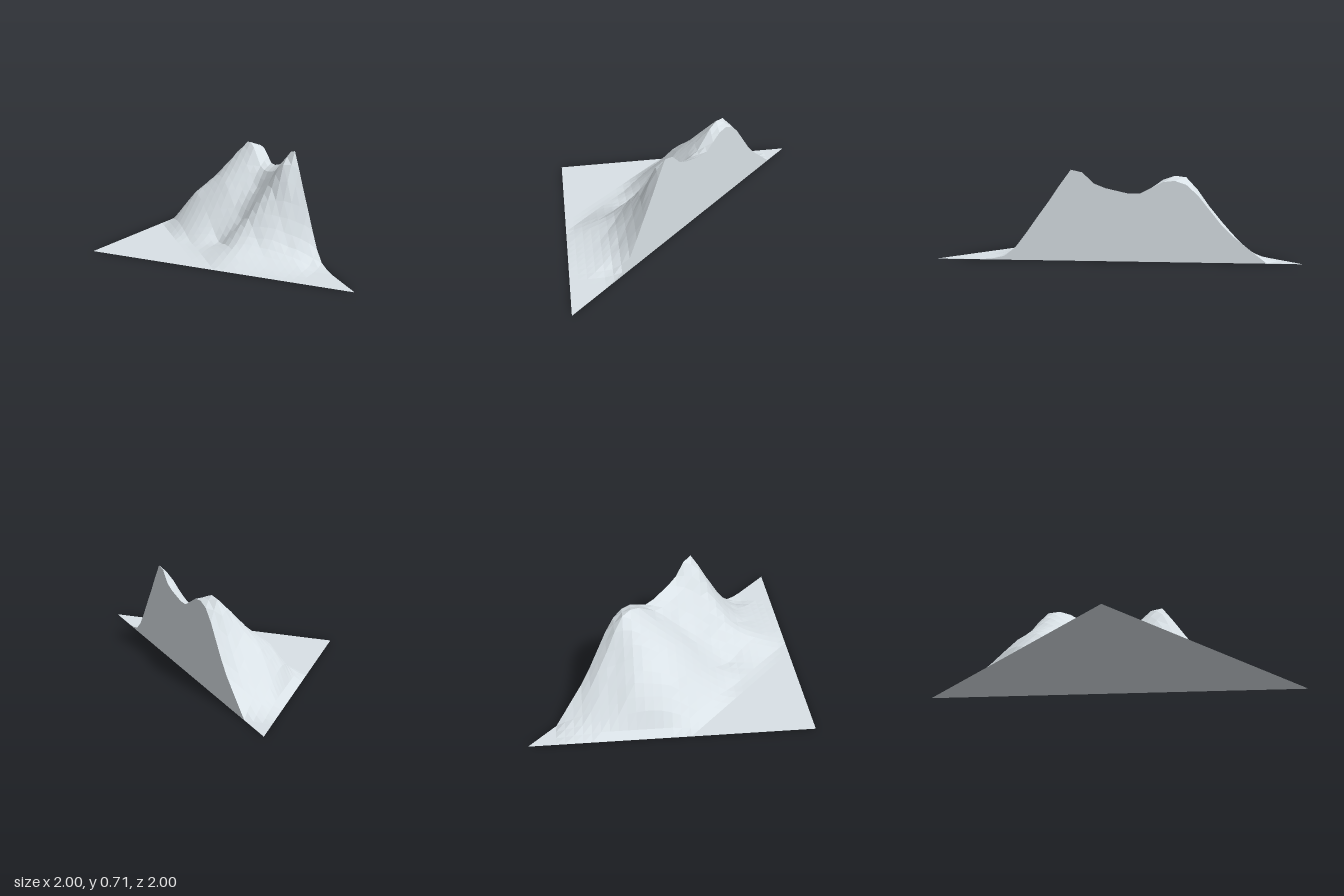
import * as THREE from 'three';

// Mountain cross-sections parallel to the vertical cut, u = distance z - x from it.
// Heights are evenly spaced along the cut, from S0 to S1.
const S0 = -0.875, S1 = 0.75;
const sections = [
  { u: 0, heights: [0, 0, 0.07, 0.14, 0.21, 0.3, 0.41, 0.52, 0.6, 0.63, 0.62, 0.575, 0.53, 0.53,
    0.55, 0.57, 0.605, 0.69, 0.71, 0.59, 0.46, 0.34, 0.215, 0.1, 0.03, 0.01, 0] },
  { u: 0.125, heights: [0, 0.06, 0.22, 0.43, 0.65, 0.63, 0.51, 0.5, 0.54, 0.615, 0.37, 0.16, 0.02, 0] },
  { u: 0.25, heights: [0, 0.05, 0.2, 0.37, 0.57, 0.55, 0.46, 0.38, 0.43, 0.45, 0.28, 0.11, 0.03, 0] },
  { u: 0.5, heights: [0, 0, 0.12, 0.3, 0.39, 0.4, 0.34, 0.24, 0.19, 0.24, 0.14, 0.06, 0.015, 0] },
  { u: 0.75, heights: [0, 0, 0, 0.15, 0.26, 0.24, 0.18, 0.1, 0.035, 0.065, 0.075, 0.03, 0, 0] },
  { u: 1, heights: [0, 0, 0, 0, 0.05, 0.06, 0.04, 0.01, 0.01, 0.01, 0.005, 0, 0, 0] },
  { u: 1.12, heights: [0, 0] },
];

// Smooth curve through one section
function along({ heights }, s) {
  const last = heights.length - 1;
  const t = THREE.MathUtils.clamp((s - S0) / (S1 - S0), 0, 1) * last;
  const k = Math.min(Math.floor(t), last - 1), f = t - k;
  const [p, a, b, q] = [-1, 0, 1, 2].map((d) => heights[THREE.MathUtils.clamp(k + d, 0, last)]);
  return a + 0.5 * f * (b - p + f * (2 * p - 5 * a + 4 * b - q + f * (3 * (a - b) + q - p)));
}

// Terrain height, never below a thin ground slab
const SLAB = 0.002;
function height(x, z) {
  const u = z - x, s = (x + z) / 2;
  const k = sections.findIndex((section) => section.u > u);
  if (k < 0 || x <= -1 || z >= 1) return SLAB;
  const a = sections[k - 1], b = sections[k];
  const y = THREE.MathUtils.lerp(along(a, s), along(b, s), (u - a.u) / (b.u - a.u));
  const foot = x < -0.92 ? 0.035 : 1; // low foot beside the outer edge
  return THREE.MathUtils.clamp(y, SLAB, foot);
}

function meshFrom(name, corners, material) {
  const geometry = new THREE.BufferGeometry();
  geometry.setAttribute('position', new THREE.Float32BufferAttribute(corners.flat(), 3));
  geometry.computeVertexNormals(); // unshared corners give flat facets
  const mesh = new THREE.Mesh(geometry, material);
  mesh.name = name;
  return mesh;
}

export function createModel() {
  const group = new THREE.Group();
  group.name = 'mountainCorner';
  const stone = new THREE.MeshStandardMaterial({ color: 0xd9e1e6, side: THREE.DoubleSide });
  stone.name = 'paleStone';

  const N = 32;
  const at = (i) => -1 + (2 * i) / N;
  const top = (i, j) => [at(i), height(at(i), at(j)), at(j)];
  const floor = (i) => [at(i), 0, at(i)];

  // Terrain over the triangular half of a square grid, and the wall along its cut
  const slope = [], wall = [];
  for (let i = 0; i < N; i++) {
    for (let j = i; j < N; j++) {
      slope.push(top(i, j), top(i, j + 1), top(i + 1, j + 1));
      if (j > i) slope.push(top(i, j), top(i + 1, j + 1), top(i + 1, j));
    }
    const a = top(i, i), b = top(i + 1, i + 1);
    wall.push(floor(i), a, b, floor(i), b, floor(i + 1));
  }
  group.add(meshFrom('mountainSlopes', slope, stone));
  group.add(meshFrom('cutWall', wall, stone));

  // Flat underside
  group.add(meshFrom('underside', [[-1, 0, -1], [1, 0, 1], [-1, 0, 1]], stone));
  return group;
}
